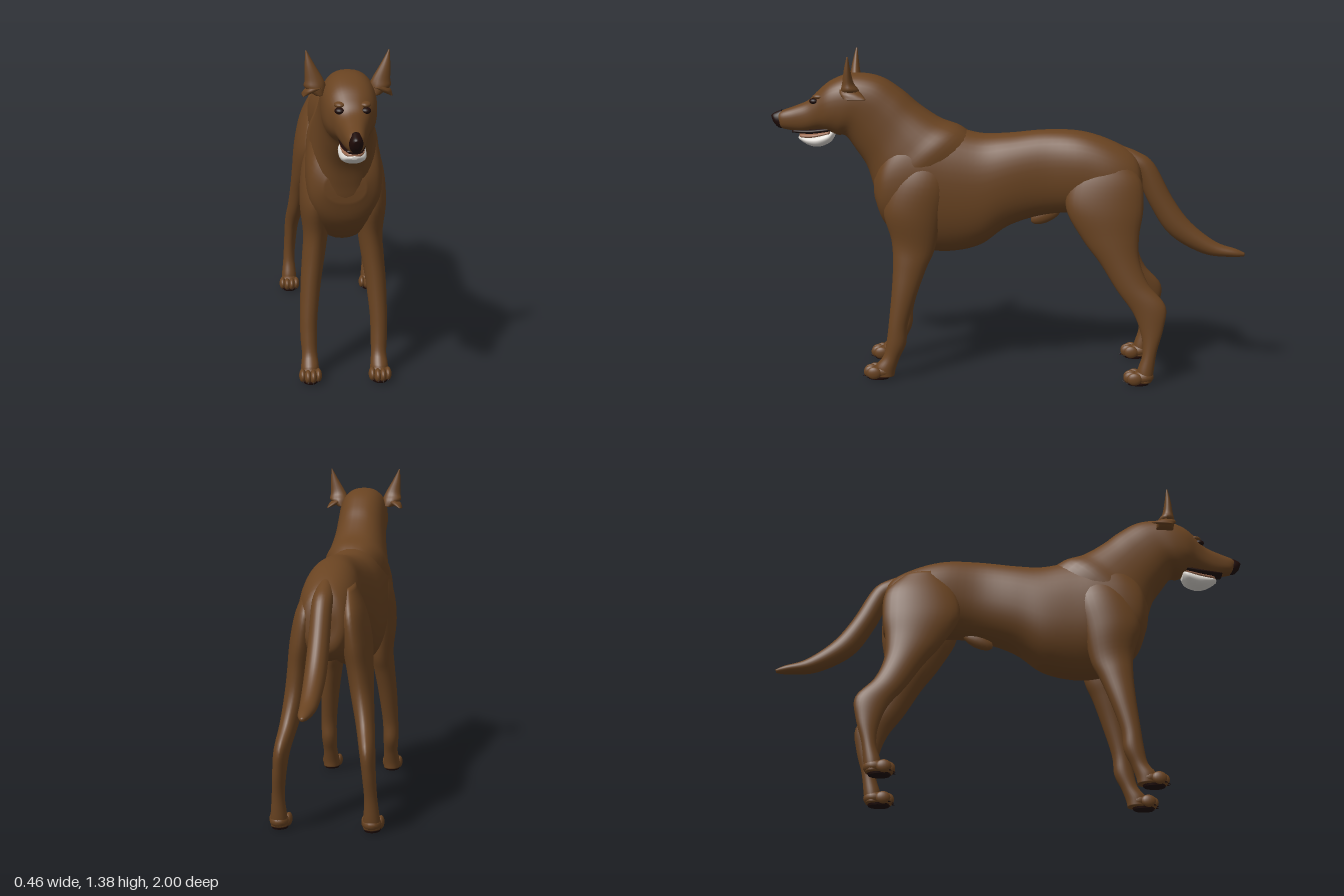
import * as THREE from 'three';

const mat = (name, color) => {
  const m = new THREE.MeshStandardMaterial({ color });
  m.name = name;
  return m;
};

// Smooth skin through oval sections. Each section is
// [zA, yA, zB, yB, xCentre, halfWidth]: two opposite edge points in side profile, plus width.
// A fullness below 1 makes the ovals squarer.
function loft(sections, { side = 1, steps = 5, sides = 28, fullness = 1 } = {}) {
  const n = sections.length, rows = [];
  const at = (i) => sections[Math.max(0, Math.min(n - 1, i))];
  const shape = (v) => Math.sign(v) * Math.abs(v) ** fullness;
  for (let i = 0; i < n - 1; i++) {
    for (let k = 0; k < steps; k++) rows.push(blend(at(i - 1), at(i), at(i + 1), at(i + 2), k / steps));
  }
  rows.push(at(n - 1));
  const pos = [], idx = [];
  for (const [zA, yA, zB, yB, x, w] of rows) {
    for (let j = 0; j < sides; j++) {
      const a = (j / sides) * Math.PI * 2, c = shape(Math.cos(a)), s = shape(Math.sin(a));
      pos.push(side * (x + w * s), (yA + yB) / 2 + c * (yA - yB) / 2, (zA + zB) / 2 + c * (zA - zB) / 2);
    }
  }
  for (let r = 0; r < rows.length - 1; r++) {
    for (let j = 0; j < sides; j++) {
      const a = r * sides + j, b = r * sides + (j + 1) % sides;
      idx.push(a, b, b + sides, a, b + sides, a + sides);
    }
  }
  // End caps
  for (const [row, last] of [[rows[0], false], [rows[rows.length - 1], true]]) {
    const centre = pos.length / 3, base = last ? (rows.length - 1) * sides : 0;
    pos.push(side * row[4], (row[1] + row[3]) / 2, (row[0] + row[2]) / 2);
    for (let j = 0; j < sides; j++) {
      const a = base + j, b = base + (j + 1) % sides;
      if (last) idx.push(centre, a, b); else idx.push(centre, b, a);
    }
  }
  // Turn the faces outward
  let volume = 0;
  const p = (i) => new THREE.Vector3().fromArray(pos, i * 3);
  const origin = p(0);
  for (let i = 0; i < idx.length; i += 3) {
    const [a, b, c] = [0, 1, 2].map((k) => p(idx[i + k]).sub(origin));
    volume += a.dot(b.cross(c));
  }
  if (volume < 0) idx.reverse();
  const g = new THREE.BufferGeometry();
  g.setAttribute('position', new THREE.Float32BufferAttribute(pos, 3));
  g.setIndex(idx);
  g.computeVertexNormals();
  return g;
}

function blend(a, b, c, d, t) {
  return b.map((v, i) => v + 0.5 * t * (c[i] - a[i]
    + t * (2 * a[i] - 5 * v + 4 * c[i] - d[i] + t * (3 * (v - c[i]) + d[i] - a[i]))));
}

export function createModel() {
  const model = new THREE.Group();
  model.name = 'dog';
  const coat = mat('brown coat', 0x694321);
  const dark = mat('dark nose and pads', 0x1e0b08);
  const white = mat('white jaw', 0xdad6d0);
  const gum = mat('gum', 0x9a6a50);

  const add = (name, geometry, material, parent = model) => {
    const m = new THREE.Mesh(geometry, material);
    m.name = name;
    parent.add(m);
    return m;
  };
  const ball = (name, material, x, y, z, rx, ry, rz, parent) => {
    const m = add(name, new THREE.SphereGeometry(1, 18, 12), material, parent);
    m.position.set(x, y, z);
    m.scale.set(rx, ry, rz);
    return m;
  };

  // Trunk, from rump to breast
  add('torso', loft([
    [-0.56, 0.87, -0.557, 0.78, 0.01, 0.04],
    [-0.53, 0.95, -0.55, 0.70, 0.01, 0.088],
    [-0.43, 1.01, -0.46, 0.66, 0.01, 0.118],
    [-0.30, 1.05, -0.33, 0.70, 0.01, 0.118],
    [-0.15, 1.055, -0.16, 0.695, 0.01, 0.106],
    [0, 1.04, 0, 0.645, 0.005, 0.122],
    [0.12, 1.037, 0.12, 0.56, 0, 0.136],
    [0.25, 1.07, 0.25, 0.53, 0, 0.145],
    [0.36, 1.09, 0.36, 0.54, 0, 0.152],
    [0.46, 1.06, 0.46, 0.585, 0, 0.152],
    [0.53, 0.97, 0.53, 0.66, 0, 0.135],
    [0.567, 0.87, 0.563, 0.75, 0, 0.08],
  ], { sides: 40, fullness: 0.9 }), coat);

  // Neck, skull and muzzle in one sweep
  add('neckAndHead', loft([
    [0.12, 1.0, 0.50, 0.62, 0, 0.12],
    [0.20, 1.065, 0.555, 0.74, 0, 0.145],
    [0.29, 1.10, 0.575, 0.82, 0, 0.132],
    [0.38, 1.16, 0.60, 0.90, 0, 0.117],
    [0.45, 1.22, 0.645, 0.97, 0.002, 0.109],
    [0.54, 1.275, 0.685, 1.025, 0.004, 0.106],
    [0.65, 1.29, 0.72, 1.03, 0.005, 0.105],
    [0.74, 1.262, 0.755, 1.045, 0.006, 0.095],
    [0.80, 1.215, 0.79, 1.05, 0.008, 0.073],
    [0.84, 1.176, 0.84, 1.045, 0.01, 0.057],
    [0.90, 1.15, 0.88, 1.043, 0.01, 0.045],
    [0.955, 1.13, 0.94, 1.052, 0.01, 0.034],
    [0.975, 1.115, 0.96, 1.06, 0.01, 0.022],
  ], { sides: 36, fullness: 0.85 }), coat);
  add('nose', loft([
    [0.955, 1.134, 0.935, 1.07, 0.01, 0.024],
    [0.975, 1.126, 0.95, 1.055, 0.01, 0.026],
    [0.992, 1.118, 0.972, 1.06, 0.01, 0.021],
    [1.0, 1.11, 0.99, 1.08, 0.01, 0.009],
  ]), dark);

  // Open mouth, lower jaw rising toward the back
  add('mouthInside', loft([
    [0.74, 1.07, 0.74, 1.045, 0.008, 0.05],
    [0.83, 1.06, 0.83, 1.033, 0.01, 0.045],
    [0.91, 1.055, 0.91, 1.038, 0.01, 0.028],
  ]), dark);
  add('lowerGum', loft([
    [0.75, 1.053, 0.75, 1.03, 0.008, 0.045],
    [0.82, 1.04, 0.82, 1.015, 0.01, 0.043],
    [0.87, 1.036, 0.87, 1.015, 0.01, 0.03],
    [0.882, 1.032, 0.882, 1.02, 0.01, 0.01],
  ]), gum);
  add('lowerJaw', loft([
    [0.735, 1.052, 0.735, 1.02, 0.008, 0.03],
    [0.75, 1.05, 0.755, 0.995, 0.008, 0.05],
    [0.80, 1.036, 0.80, 0.978, 0.01, 0.052],
    [0.845, 1.028, 0.84, 0.984, 0.01, 0.043],
    [0.875, 1.026, 0.87, 1.0, 0.01, 0.028],
    [0.886, 1.022, 0.885, 1.01, 0.01, 0.01],
  ]), white);

  // Tail
  add('tail', loft([
    [-0.44, 1.0, -0.49, 0.90, 0.012, 0.03],
    [-0.535, 0.966, -0.50, 0.88, 0.012, 0.04],
    [-0.607, 0.915, -0.535, 0.86, 0.013, 0.041],
    [-0.687, 0.77, -0.595, 0.735, 0.014, 0.042],
    [-0.767, 0.663, -0.68, 0.61, 0.016, 0.042],
    [-0.874, 0.58, -0.82, 0.53, 0.018, 0.035],
    [-0.96, 0.55, -0.94, 0.515, 0.02, 0.024],
    [-0.998, 0.533, -0.995, 0.518, 0.02, 0.008],
  ]), coat);

  const tuft = ball('bellyTuft', coat, 0.005, 0.69, -0.155, 0.022, 0.033, 0.07);
  tuft.rotation.x = 0.45;

  // Paw with pad, toes, claws and sole
  function paw(name, s, x, z) {
    const g = new THREE.Group();
    g.name = name;
    g.position.set(s * x, 0, z);
    model.add(g);
    ball('pawPad', coat, 0, 0.034, -0.015, 0.038, 0.031, 0.045, g);
    for (let i = 0; i < 4; i++) {
      const tx = (i - 1.5) * 0.021, tz = Math.abs(i - 1.5) > 1 ? 0.022 : 0.037;
      ball('toe', coat, tx, 0.031, tz, 0.0145, 0.027, 0.031, g);
      const claw = add('claw', new THREE.ConeGeometry(0.005, 0.016, 8), dark, g);
      claw.position.set(tx, 0.014, tz + 0.027);
      claw.rotation.x = 1.9;
    }
    const sole = add('sole', new THREE.CylinderGeometry(1, 0.92, 0.008, 24), dark, g);
    sole.position.set(0, 0.004, 0.005);
    sole.scale.set(0.034, 1, 0.047);
  }

  for (const s of [1, -1]) {
    const side = s > 0 ? 'left' : 'right';
    // Shoulder to wrist
    add(side + 'FrontLeg', loft([
      [0.39, 1.01, 0.28, 0.99, 0.085, 0.02],
      [0.48, 0.87, 0.25, 0.85, 0.105, 0.055],
      [0.523, 0.73, 0.28, 0.70, 0.112, 0.061],
      [0.492, 0.60, 0.31, 0.56, 0.11, 0.05],
      [0.486, 0.50, 0.345, 0.48, 0.119, 0.046],
      [0.492, 0.38, 0.385, 0.37, 0.132, 0.041],
      [0.505, 0.25, 0.425, 0.24, 0.141, 0.035],
      [0.515, 0.17, 0.433, 0.155, 0.142, 0.034],
      [0.53, 0.10, 0.462, 0.09, 0.14, 0.031],
      [0.565, 0.055, 0.48, 0.04, 0.14, 0.036],
      [0.565, 0.012, 0.485, 0.012, 0.14, 0.034],
    ], { side: s }), coat);
    paw(side + 'FrontPaw', s, 0.14, 0.547);

    // Thigh to hock and foot
    add(side + 'HindLeg', loft([
      [-0.34, 0.97, -0.47, 0.95, 0.075, 0.02],
      [-0.26, 0.86, -0.55, 0.86, 0.088, 0.05],
      [-0.24, 0.74, -0.562, 0.74, 0.105, 0.058],
      [-0.31, 0.61, -0.546, 0.63, 0.12, 0.052],
      [-0.385, 0.51, -0.548, 0.53, 0.134, 0.045],
      [-0.455, 0.40, -0.585, 0.43, 0.152, 0.037],
      [-0.525, 0.305, -0.658, 0.34, 0.169, 0.031],
      [-0.56, 0.21, -0.652, 0.245, 0.178, 0.027],
      [-0.565, 0.13, -0.625, 0.14, 0.184, 0.026],
      [-0.545, 0.06, -0.613, 0.05, 0.185, 0.033],
      [-0.545, 0.012, -0.605, 0.012, 0.185, 0.033],
    ], { side: s }), coat);
    paw(side + 'HindPaw', s, 0.185, -0.555);

    // Upright pointed ear with a folded lower flap
    add(side + 'Ear', loft([
      [0.685, 1.205, 0.61, 1.205, 0.105, 0.022],
      [0.688, 1.235, 0.615, 1.235, 0.122, 0.041],
      [0.682, 1.265, 0.635, 1.265, 0.126, 0.035],
      [0.672, 1.32, 0.645, 1.32, 0.142, 0.019],
      [0.658, 1.375, 0.652, 1.375, 0.156, 0.002],
    ], { side: s, sides: 16 }), coat);
    add(side + 'EarFlap', loft([
      [0.695, 1.235, 0.62, 1.235, 0.12, 0.03],
      [0.69, 1.22, 0.60, 1.22, 0.14, 0.025],
      [0.67, 1.20, 0.58, 1.20, 0.166, 0.006],
    ], { side: s, sides: 14 }), coat);

    // Eye set under a low brow
    ball(side + 'Eye', dark, 0.009 + s * 0.048, 1.178, 0.81, 0.02, 0.013, 0.021);
    ball(side + 'Brow', coat, 0.009 + s * 0.047, 1.197, 0.79, 0.022, 0.012, 0.027);
  }
  return model;
}
